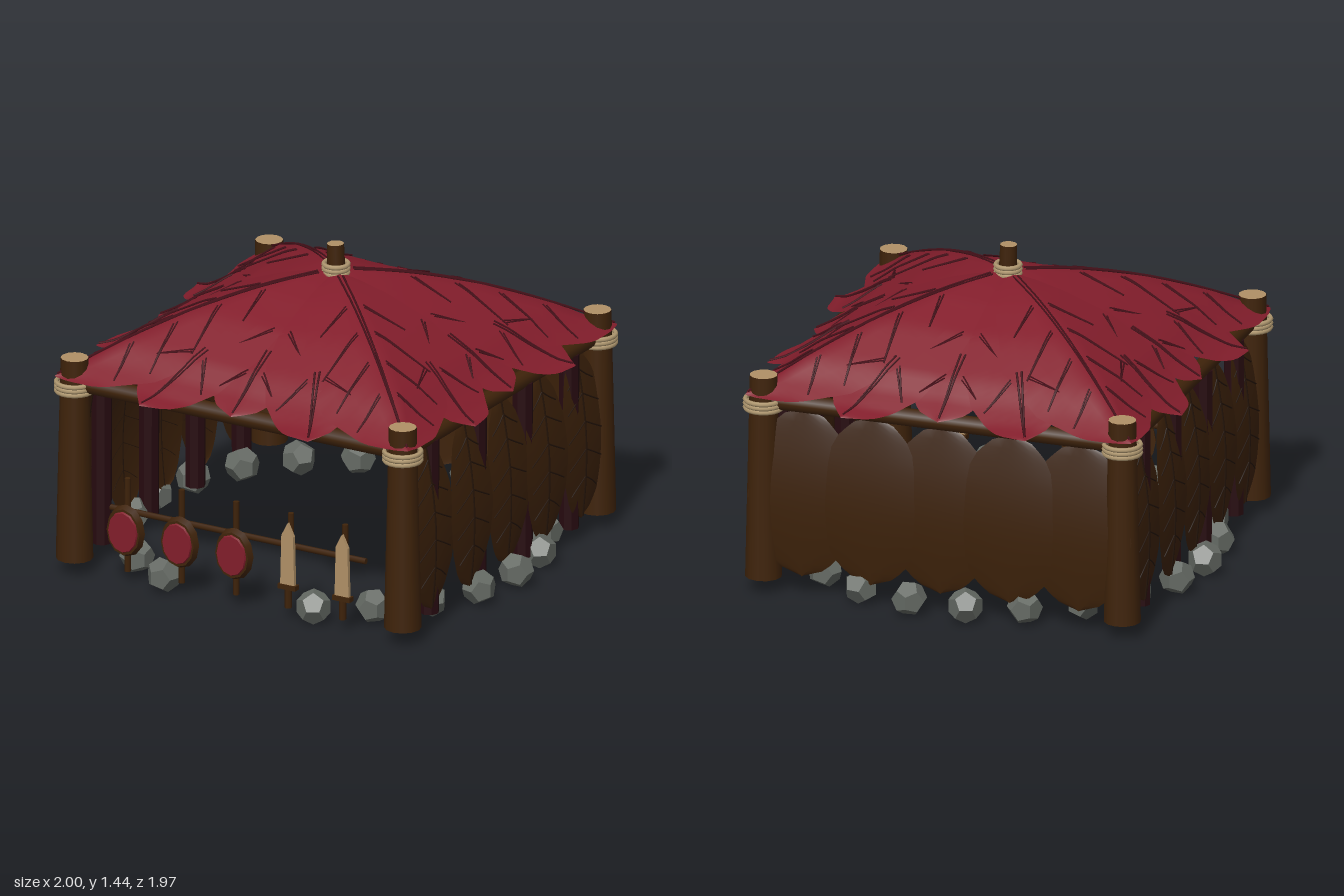
import * as THREE from 'three';

const mat = (name, color, opts = {}) => Object.assign(new THREE.MeshStandardMaterial({ color, ...opts }), { name });
const DOUBLE = { side: THREE.DoubleSide };
const M = {
  bark: mat('bark brown', 0x3f230a),
  cutWood: mat('cut wood tan', 0xb09066, { flatShading: true }),
  rope: mat('rope beige', 0xb09870),
  roof: mat('roof leaf red', 0x821d2b, DOUBLE),
  roofVein: mat('roof vein dark red', 0x47111a),
  wall: mat('wall leaf brown', 0x3c2109, DOUBLE),
  wallVein: mat('wall vein dark brown', 0x251407),
  stake: mat('stake maroon', 0x270b10, { flatShading: true }),
  stone: mat('stone grey', 0x656a64, { flatShading: true }),
};

function add(parent, name, geometry, material, x = 0, y = 0, z = 0) {
  const mesh = new THREE.Mesh(geometry, material);
  mesh.name = name;
  mesh.position.set(x, y, z);
  parent.add(mesh);
  return mesh;
}

function group(parent, name) {
  const g = new THREE.Group();
  g.name = name;
  parent.add(g);
  return g;
}

// Linear lookup in a list of [position, value] pairs
function lookup(table, s) {
  for (let i = 1; i < table.length; i++) {
    const [a, va] = table[i - 1], [b, vb] = table[i];
    if (s <= b) return va + (vb - va) * (s - a) / (b - a);
  }
  return table.at(-1)[1];
}

// Leaf surface: rows along the midrib, each placed in space by a rule
function leafGeometry(profile, place, rows = 24, cols = 6) {
  const pos = [], index = [];
  const s0 = profile[0][0], s1 = profile.at(-1)[0];
  for (let i = 0; i <= rows; i++) {
    const s = s0 + (s1 - s0) * i / rows, w = lookup(profile, s);
    for (let j = 0; j <= cols; j++) {
      const u = j / cols * 2 - 1;
      pos.push(...place(s, u * w, u).toArray());
      if (i < rows && j < cols) {
        const a = i * (cols + 1) + j, b = a + cols + 1;
        index.push(a, a + 1, b, a + 1, b + 1, b);
      }
    }
  }
  const g = new THREE.BufferGeometry();
  g.setAttribute('position', new THREE.Float32BufferAttribute(pos, 3));
  g.setIndex(index);
  g.computeVertexNormals();
  return g;
}

function vein(parent, name, points, material, radius) {
  add(parent, name, new THREE.TubeGeometry(new THREE.CatmullRomCurve3(points), 12, radius, 4), material);
}

// Domed pyramid that the roof leaves drape over, flaring at the eaves
const ROOF_PROFILE = [[0, 1.305], [0.14, 1.28], [0.26, 1.248], [0.47, 1.172], [0.7, 1.05], [0.8, 0.978], [0.9, 0.922], [0.98, 0.9]];
const roofHeight = (x, z) => lookup(ROOF_PROFILE, Math.max(Math.abs(x), Math.abs(z)));

function roofLeaf(parent, name, profile, angle, lift, ribStart, forks) {
  const g = group(parent, name);
  const place = (s, lat, u = 0, up = 0) => {
    const x = Math.sin(angle) * s + Math.cos(angle) * lat;
    const z = Math.cos(angle) * s - Math.sin(angle) * lat;
    return new THREE.Vector3(x, roofHeight(x, z) + lift + up + 0.006 * (1 - Math.abs(u)), z);
  };
  add(g, 'leafBlade', leafGeometry(profile, place, 40, 8), M.roof);
  const tip = profile.at(-1)[0] - 0.01;
  const path = (sa, la, sb, lb) => [0, 0.2, 0.4, 0.6, 0.8, 1].map(t => {
    const s = sa + (sb - sa) * t, lat = la + (lb - la) * t;
    return place(s, lat, lat / Math.max(lookup(profile, s), 0.03), 0.005);
  });
  // Paired lines that meet at their outer ends
  for (const side of [-1, 1]) {
    vein(g, 'midrib', path(ribStart, side * 0.011, tip, 0), M.roofVein, 0.005);
    for (const s of forks) {
      const reach = lookup(profile, s + 0.12) * 0.8;
      for (const gap of [-0.009, 0.009]) {
        vein(g, 'sideVein', path(s + 0.04 + gap, side * 0.04, s + reach * 0.9, side * reach), M.roofVein, 0.004);
      }
    }
  }
}

const WALL_LEAF = [[0.1, 0], [0.112, 0.045], [0.15, 0.085], [0.2, 0.118], [0.3, 0.16], [0.45, 0.18], [0.66, 0.16], [0.79, 0.112], [0.855, 0.06], [0.88, 0]];

// Row of five hanging leaves, bowed outward; faces +z before turning
function leafWall(parent, name, turn, widen, veined) {
  const wall = group(parent, name);
  wall.rotation.y = turn;
  const profile = WALL_LEAF.map(([s, w]) => [s, w * widen]);
  for (let i = -2; i <= 2; i++) {
    const cx = i * 0.325, shift = Math.abs(i % 2) * 0.004;
    const place = (y, lat, u = 0, out = 0) => {
      const t = (0.88 - y) / 0.78;
      return new THREE.Vector3(cx + lat, y, 0.842 + shift + out + 0.035 * t + 0.036 * Math.sin(Math.PI * t) - 0.008 * u * u);
    };
    add(wall, 'wallLeaf', leafGeometry(profile, place), M.wall);
    if (!veined) continue;
    vein(wall, 'wallMidrib', [0.11, 0.3, 0.5, 0.7, 0.87].map(y => place(y, 0, 0, 0.002)), M.wallVein, 0.0055);
    for (const y of [0.3, 0.43, 0.56, 0.69, 0.8]) for (const side of [-1, 1]) {
      const pts = [0, 0.5, 1].map(t => {
        const yy = y - t * 0.07, w = lookup(profile, yy);
        return place(yy, side * t * w * 0.8, t * 0.8, 0.002);
      });
      vein(wall, 'wallSideVein', pts, M.wallVein, 0.0035);
    }
  }
}

function ropeBinding(parent, x, y, z, radius) {
  for (let i = -1; i <= 1; i++) {
    const ring = add(parent, 'ropeRing', new THREE.TorusGeometry(radius, 0.011, 6, 18), M.rope, x, y + i * 0.019, z);
    ring.rotation.x = Math.PI / 2;
  }
}

function log(parent, name, rTop, rBottom, length, x, y, z) {
  return add(parent, name, new THREE.CylinderGeometry(rTop, rBottom, length, 12), [M.bark, M.cutWood, M.cutWood], x, y, z);
}

export function createModel() {
  const model = new THREE.Group();
  model.name = 'leafHut';

  // Corner posts with rope bindings
  for (const x of [-0.842, 0.842]) for (const z of [-0.842, 0.842]) {
    log(model, 'cornerPost', 0.062, 0.083, 0.945, x, 0.5425, z);
    ropeBinding(model, x, 0.882, z, 0.082);
  }

  // Top beams
  for (const s of [-0.842, 0.842]) {
    log(model, 'crossBeam', 0.04, 0.04, 1.68, 0, 0.9, s).rotation.z = Math.PI / 2;
    log(model, 'sideBeam', 0.04, 0.04, 1.68, s, 0.9, 0).rotation.x = Math.PI / 2;
  }

  // Roof: three overlapping layers of leaves and a peak log
  const roof = group(model, 'roof');
  const axisLeaf = [[0, 0], [0.3, 0.13], [0.6, 0.21], [0.75, 0.19], [0.86, 0.11], [0.91, 0]];
  const middleLeaf = [[0, 0], [0.3, 0.16], [0.6, 0.24], [0.8, 0.22], [0.95, 0.15], [1.0, 0.115], [1.065, 0]];
  const cornerLeaf = [[0, 0], [0.05, 0.04], [0.25, 0.18], [0.6, 0.31], [0.9, 0.28], [1.14, 0.16], [1.24, 0.06], [1.28, 0]];
  for (let i = 0; i < 4; i++) {
    const a = i * Math.PI / 2;
    roofLeaf(roof, 'axisLeaf', axisLeaf, a, 0, 0.58, [0.43, 0.66]);
    for (const side of [-1, 1]) {
      roofLeaf(roof, 'middleLeaf', middleLeaf, a + side * 0.418, 0.006, 0.7, [0.7]);
    }
    roofLeaf(roof, 'cornerLeaf', cornerLeaf, a + Math.PI / 4, 0.012, 0.08, [0.3, 0.5, 0.7, 0.9]);
  }
  log(roof, 'peakLog', 0.038, 0.042, 0.19, 0, 1.345, 0).rotation.z = 0.03;
  ropeBinding(roof, 0, 1.325, 0, 0.055);

  // Leaf walls on three sides, with stakes behind the side ones
  leafWall(model, 'leftWall', Math.PI / 2, 1, true);
  leafWall(model, 'rightWall', -Math.PI / 2, 1, true);
  leafWall(model, 'backWall', Math.PI, 1.4, false);
  for (const x of [-0.84, 0.84]) for (const z of [-0.6, -0.2, 0.2, 0.61]) {
    add(model, 'wallStake', new THREE.CylinderGeometry(0.047, 0.045, 0.82, 8), M.stake, x, 0.475, z);
  }

  // Ring of stones, open at the front
  const count = 22;
  for (let i = 0; i < count; i++) {
    const a = (i / count) * Math.PI * 2;
    const x = Math.cos(a) * 0.925, z = Math.sin(a) * 0.925;
    if (z > 0.88) continue;
    add(model, 'stone', new THREE.DodecahedronGeometry(0.08), M.stone, x, 0.077, z).rotation.y = i * 1.3;
  }

  // Weapon rack across the front
  const rack = group(model, 'weaponRack');
  add(rack, 'rackBar', new THREE.CylinderGeometry(0.014, 0.014, 1.31, 6), M.bark, -0.005, 0.34, 0.835).rotation.z = Math.PI / 2;
  const rod = (x, y0, y1) => add(rack, 'rackRod', new THREE.CylinderGeometry(0.014, 0.014, y1 - y0, 6), M.bark, x, (y0 + y1) / 2, 0.85);
  for (const x of [-0.565, -0.287, -0.008]) {
    rod(x, 0.06, 0.5);
    const shield = group(rack, 'shield');
    shield.position.set(x, 0.257, 0.875);
    shield.scale.set(0.78, 1, 1);
    add(shield, 'shieldRim', new THREE.CylinderGeometry(0.108, 0.122, 0.03, 12), M.bark).rotation.x = Math.PI / 2;
    add(shield, 'shieldFace', new THREE.CylinderGeometry(0.092, 0.097, 0.009, 12), M.roof, 0, 0, 0.019).rotation.x = Math.PI / 2;
  }
  const blade = new THREE.Shape([[-0.036, 0.17], [0.036, 0.17], [0.03, 0.4], [0, 0.46], [-0.03, 0.4]].map(p => new THREE.Vector2(...p)));
  for (const x of [0.273, 0.552]) {
    rod(x, 0.16, 0.5);
    const sword = group(rack, 'sword');
    sword.position.set(x, 0, 0.865);
    add(sword, 'swordBlade', new THREE.ExtrudeGeometry(blade, { depth: 0.018, bevelEnabled: false }), M.cutWood);
    add(sword, 'swordGuard', new THREE.BoxGeometry(0.09, 0.022, 0.035), M.bark, 0, 0.16, 0.008);
    add(sword, 'swordGrip', new THREE.CylinderGeometry(0.016, 0.016, 0.1, 6), M.bark, 0, 0.11, 0.008);
  }
  return model;
}
